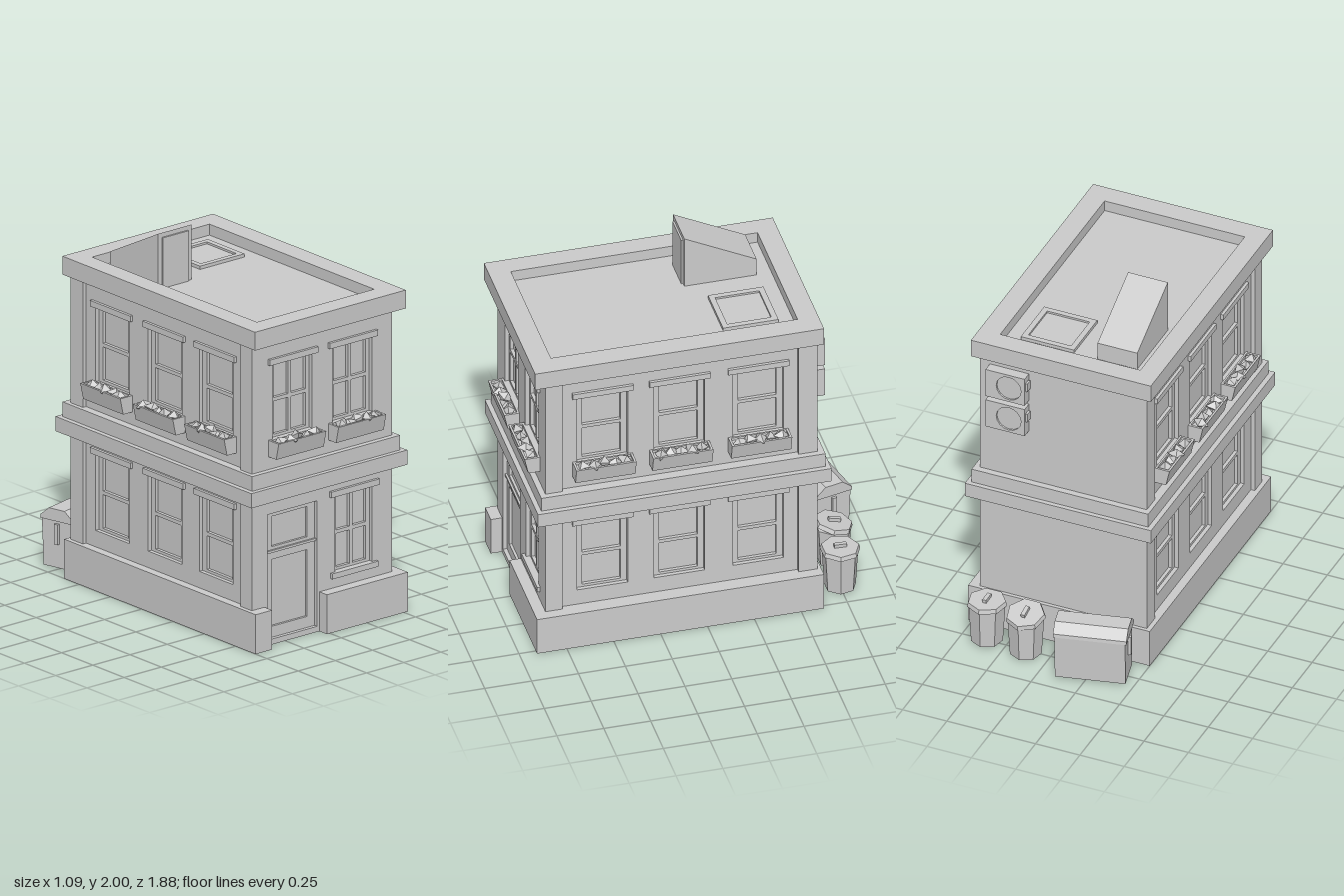
import * as THREE from 'three';

const mat = new THREE.MeshStandardMaterial({ color: 0xcccccc, flatShading: true });

function add(parent, name, geo, x = 0, y = 0, z = 0) {
  const m = new THREE.Mesh(geo, mat);
  m.name = name;
  m.position.set(x, y, z);
  parent.add(m);
  return m;
}

function group(parent, name, x = 0, y = 0, z = 0, ry = 0) {
  const g = new THREE.Group();
  g.name = name;
  g.position.set(x, y, z);
  g.rotation.y = ry;
  parent.add(g);
  return g;
}

// Box given by its limits on each axis
function box(parent, name, x0, x1, y0, y1, z0, z1) {
  const geo = new THREE.BoxGeometry(x1 - x0, y1 - y0, z1 - z0);
  return add(parent, name, geo, (x0 + x1) / 2, (y0 + y1) / 2, (z0 + z1) / 2);
}

function outline(T, pts) {
  return new T(pts.map(([x, y]) => new THREE.Vector2(x, y)));
}
const corners = ([x0, x1, y0, y1]) => [[x0, y0], [x1, y0], [x1, y1], [x0, y1]];

// Rectangular plate with rectangular holes, its back on z = 0
function plate(rect, holes, depth) {
  const shape = outline(THREE.Shape, corners(rect));
  holes.forEach(h => shape.holes.push(outline(THREE.Path, corners(h).reverse())));
  return new THREE.ExtrudeGeometry(shape, { depth, bevelEnabled: false });
}

// Profile in (z, y) run along x and centred
function run(profile, width) {
  const geo = new THREE.ExtrudeGeometry(outline(THREE.Shape, profile), { depth: width, bevelEnabled: false });
  return geo.translate(0, 0, -width / 2).rotateY(-Math.PI / 2);
}

// Recessed sash with a grid of panes
function sash(parent, [x0, x1, y0, y1], cols, mx) {
  const g = group(parent, 'windowSash');
  const gap = 0.02, my = 0.015;
  const pw = (x1 - x0 - 2 * mx - (cols - 1) * gap) / cols;
  const ph = (y1 - y0 - 2 * my - gap) / 2;
  const panes = [];
  for (let c = 0; c < cols; c++) for (let r = 0; r < 2; r++) {
    const px = x0 + mx + c * (pw + gap), py = y0 + my + r * (ph + gap);
    panes.push([px, px + pw, py, py + ph]);
  }
  add(g, 'sashFrame', plate([x0, x1, y0, y1], panes, 0.018), 0, 0, -0.04);
  box(g, 'glass', x0, x1, y0, y1, -0.049, -0.04);
}

// Slanted window box filled with low-poly flowers
function flowerBox(parent, x, seed) {
  const g = group(parent, 'flowerBox', x, 1.03, 0);
  const w = 0.32;
  add(g, 'planter', run([[0, 0], [0.062, 0], [0.082, 0.09], [0.07, 0.09], [0.066, 0.075], [0.01, 0.075], [0.01, 0.09], [0, 0.09]], w));
  for (const s of [-1, 1]) add(g, 'planterEnd', run([[0, 0], [0.062, 0], [0.082, 0.09], [0, 0.09]], 0.012), s * (w / 2 - 0.006));
  for (let i = 0; i < 5; i++) {
    const k = i * 2.4 + seed;
    const f = add(g, 'flower', new THREE.OctahedronGeometry(0.042),
      -0.11 + i * 0.055, 0.083 + 0.008 * Math.sin(k * 1.7), 0.042 + 0.008 * Math.sin(k));
    f.rotation.set(0.3 * Math.sin(k), k, 0.45 * Math.cos(k * 1.3));
    f.scale.set(1.1, 0.8, 0.8);
  }
}

// Wall with openings; each window carries its own sash, header, sill and flowers
function facade(parent, name, rect, windows, extraHoles = []) {
  const holes = windows.map(w => [w.x - w.w / 2, w.x + w.w / 2, w.y0, w.y1]);
  add(parent, name, plate(rect, [...holes, ...extraHoles], 0.05), 0, 0, -0.05);
  windows.forEach((w, i) => {
    sash(parent, holes[i], w.cols, w.cols > 1 ? 0.025 : 0.033);
    box(parent, 'windowHeader', w.x - 0.162, w.x + 0.162, w.y1, w.y1 + 0.032, -0.01, 0.016);
    if (w.sill) box(parent, 'windowSill', w.x - 0.155, w.x + 0.155, w.y0 - 0.03, w.y0, -0.02, 0.016);
    if (w.flowers) flowerBox(parent, w.x, i + rect[0]);
  });
}

// Seven-sided can with a flat lid that may sit askew
function trashCan(parent, x, z, tilt) {
  const g = group(parent, 'trashCan', x, 0.01, z);
  add(g, 'canBody', new THREE.CylinderGeometry(0.097, 0.084, 0.22, 7, 1, false, Math.PI), 0, 0.11, 0);
  const lid = group(g, 'canLid', 0, 0.228, 0);
  lid.rotation.x = tilt;
  add(lid, 'lidPlate', new THREE.CylinderGeometry(0.1, 0.107, 0.024, 7, 1, false, Math.PI), 0, 0.005, 0);
  box(lid, 'lidHandle', -0.011, 0.011, 0.015, 0.036, -0.033, 0.033);
}

function airConditioner(parent, y) {
  const g = group(parent, 'airConditioner', 0.3, y, -0.6, Math.PI);
  const shape = outline(THREE.Shape, corners([-0.11, 0.11, -0.083, 0.083]));
  const hole = new THREE.Path();
  hole.absarc(0.02, 0, 0.07, 0, Math.PI * 2, true);
  shape.holes.push(hole);
  add(g, 'casing', new THREE.ExtrudeGeometry(shape, { depth: 0.055, bevelEnabled: false, curveSegments: 8 }));
  add(g, 'fanRecess', new THREE.CircleGeometry(0.072, 16), 0.02, 0, 0.045);
  box(g, 'valveCover', 0.11, 0.122, 0, 0.05, 0.01, 0.045);
}

export function createModel() {
  const model = new THREE.Group();
  model.name = 'townHouse';

  // Core, back wall and corner pilasters
  box(model, 'core', -0.4, 0.394, 0.2, 1.7, -0.59, 0.8);
  box(model, 'backWall', -0.475, 0.467, 0.2, 1.68, -0.6, -0.57);
  for (const [x0, x1] of [[-0.475, -0.43], [0.42, 0.467]]) {
    box(model, 'frontPilaster', x0, x1, 0.2, 1.68, 0.76, 0.849);
    box(model, 'backPilaster', x0, x1, 0.2, 1.68, -0.599, -0.5);
  }

  // Front wall with its windows and door opening
  const front = group(model, 'front', 0, 0, 0.85);
  facade(front, 'frontWall', [-0.475, 0.467, 0, 1.68], [
    { x: -0.203, w: 0.265, y0: 1.12, y1: 1.53, cols: 2, flowers: true },
    { x: 0.2, w: 0.265, y0: 1.12, y1: 1.53, cols: 2, flowers: true },
    { x: 0.21, w: 0.25, y0: 0.3, y1: 0.715, cols: 2, sill: true },
  ], [[-0.37, -0.035, 0.03, 0.715]]);

  // Entrance door with transom light
  const door = group(front, 'entrance');
  add(door, 'doorLeaf', plate([-0.37, -0.035, 0.03, 0.495], [[-0.325, -0.085, 0.09, 0.455]], 0.014), 0, 0, -0.035);
  add(door, 'transom', plate([-0.37, -0.035, 0.505, 0.715], [[-0.325, -0.085, 0.525, 0.69]], 0.014), 0, 0, -0.035);
  box(door, 'doorBacking', -0.37, -0.035, 0.03, 0.715, -0.049, -0.035);
  box(door, 'transomBar', -0.37, -0.035, 0.495, 0.508, -0.035, -0.01);

  // Side walls, three windows on each floor
  for (const s of [-1, 1]) {
    const side = group(model, s > 0 ? 'leftSide' : 'rightSide', s > 0 ? 0.445 : -0.453, 0, 0, s * Math.PI / 2);
    const windows = [];
    for (const z of [0.54, 0.13, -0.29]) {
      windows.push({ x: -s * z, w: 0.27, y0: 1.115, y1: 1.525, cols: 1, flowers: true });
      windows.push({ x: -s * z, w: 0.27, y0: 0.305, y1: 0.723, cols: 1 });
    }
    const ends = [-s * 0.8, s * 0.57].sort((a, b) => a - b);
    facade(side, 'sideWall', [...ends, 0.2, 1.68], windows);
  }

  // Plinth: a thin hollow skirt under a ledge, open at the door
  const plinth = group(model, 'plinth');
  const t = 0.012;
  box(plinth, 'floor', -0.5, 0.524, 0.2, 0.215, -0.62, 0.8);
  box(plinth, 'skirtRight', -0.5, -0.5 + t, 0, 0.215, -0.62, 0.91);
  box(plinth, 'skirtLeft', 0.524 - t, 0.524, 0, 0.215, -0.62, 0.91);
  box(plinth, 'skirtBack', -0.5 + t, 0.524 - t, 0, 0.215, -0.62, -0.62 + t);
  for (const [x0, x1, jamb] of [[-0.5, -0.39, -0.39 - t], [-0.02, 0.524, -0.02]]) {
    box(plinth, 'frontLedge', x0, x1, 0.2, 0.215, 0.8, 0.91);
    box(plinth, 'skirtFront', x0, x1, 0, 0.2, 0.91 - t, 0.91);
    box(plinth, 'skirtJamb', jamb, jamb + t, 0, 0.2, 0.85, 0.91 - t);
  }

  // Belt course between the floors
  box(model, 'beltLower', -0.525, 0.525, 0.8, 0.88, -0.66, 0.905);
  box(model, 'beltUpper', -0.498, 0.498, 0.88, 0.96, -0.635, 0.88);

  // Cornice ring around the sunken roof
  const cornice = plate([-0.508, 0.506, -0.915, 0.625], [[-0.4, 0.39, -0.8, 0.515]], 0.1);
  add(model, 'cornice', cornice.rotateX(-Math.PI / 2), 0, 1.66, 0);

  // Roof access with sloped top, and skylight
  const access = group(model, 'roofAccess', -0.235, 0, 0);
  add(access, 'accessHousing', run([[-0.435, 1.7], [-0.05, 1.7], [-0.05, 2], [-0.435, 1.8]], 0.224));
  box(access, 'accessDoor', -0.087, 0.087, 1.7, 1.975, -0.055, -0.04);
  const skylight = plate([0.01, 0.31, 0.14, 0.435], [[0.04, 0.28, 0.17, 0.405]], 0.018);
  add(model, 'skylightFrame', skylight.rotateX(-Math.PI / 2), 0, 1.7, 0);
  box(model, 'skylightGlass', 0.035, 0.285, 1.7, 1.707, -0.41, -0.165);

  // Equipment on the back
  airConditioner(model, 1.54);
  airConditioner(model, 1.35);
  trashCan(model, 0.13, -0.775, -0.25);
  trashCan(model, 0.36, -0.75, -0.03);

  const bin = group(model, 'dumpster', -0.258, 0.01, -0.79, 0.235);
  add(bin, 'dumpsterBody', run([[-0.088, 0], [0.088, 0], [0.1, 0.265], [-0.1, 0.265]], 0.37));
  add(bin, 'dumpsterLid', run([[-0.105, 0.255], [0.105, 0.255], [0.103, 0.275], [0.05, 0.32], [-0.05, 0.32], [-0.103, 0.275]], 0.385));
  for (const s of [-1, 1]) box(bin, 'dumpsterHandle', s * 0.188 - 0.012, s * 0.188 + 0.012, 0.13, 0.24, -0.012, 0.012);
  return model;
}
